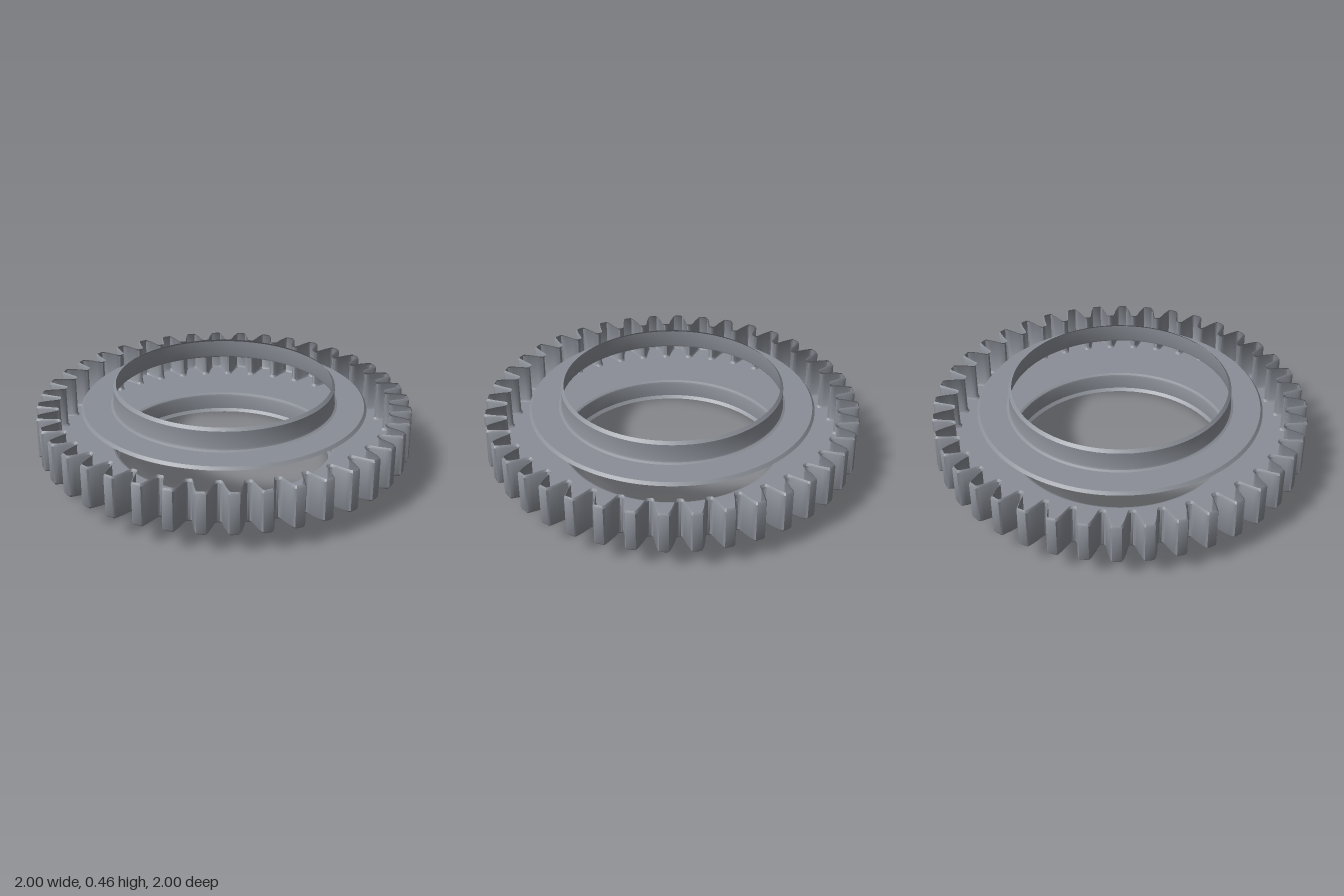
import * as THREE from 'three';
import { toCreasedNormals } from 'three/addons/utils/BufferGeometryUtils.js';

const TEETH = 40;
const Y0 = 0.11, Y1 = 0.34, BEVEL = 0.012;

// Half of one tooth: [radius, half width], from root to tip
const FLANK = [
  [0.886, 0.064], [0.892, 0.057], [0.91, 0.052], [0.93, 0.048],
  [0.95, 0.043], [0.97, 0.037], [0.99, 0.03], [0.998, 0.024],
];

// Closed gear outline, optionally drawn inwards for the bevelled edges
function gearOutline(inset) {
  const half = FLANK.map(([r, w]) => [r - inset, w - inset * 0.7]);
  const tooth = [
    ...half.map(([r, w]) => [r, -w]),
    ...half.slice().reverse(),
  ];
  const pts = [];
  for (let i = 0; i < TEETH; i++) {
    const a0 = (i / TEETH) * Math.PI * 2;
    for (const [r, w] of tooth) {
      const a = a0 + Math.asin(w / r);
      pts.push(new THREE.Vector2(r * Math.cos(a), r * Math.sin(a)));
    }
  }
  return pts;
}

// Toothed wall lofted through bevelled and full outlines
function toothWall() {
  const full = gearOutline(0), small = gearOutline(0.008);
  const levels = [[Y0, small], [Y0 + BEVEL, full], [Y1 - BEVEL, full], [Y1, small]];
  const n = full.length, pos = [], idx = [];
  for (const [y, ring] of levels) for (const p of ring) pos.push(p.x, y, -p.y);
  for (let l = 0; l < levels.length - 1; l++) {
    for (let i = 0; i < n; i++) {
      const a = l * n + i, b = l * n + (i + 1) % n;
      idx.push(a, b, b + n, a, b + n, a + n);
    }
  }
  const geo = new THREE.BufferGeometry();
  geo.setAttribute('position', new THREE.Float32BufferAttribute(pos, 3));
  geo.setIndex(idx);
  return toCreasedNormals(geo, 0.6);
}

// Surface of revolution with crisp edges
function turned(profile) {
  const geo = new THREE.LatheGeometry(profile.map(([r, y]) => new THREE.Vector2(r, y)), 128);
  return toCreasedNormals(geo, 0.5);
}

export function createModel() {
  const steel = new THREE.MeshStandardMaterial({ color: 0x8a8e96, side: THREE.DoubleSide });
  steel.name = 'steel grey';

  const group = new THREE.Group();
  group.name = 'gearRing';
  const add = (name, geo) => {
    const mesh = new THREE.Mesh(geo, steel);
    mesh.name = name;
    group.add(mesh);
    return mesh;
  };

  add('toothWall', toothWall());

  // Lower face, cut out to the hub
  const face = new THREE.Shape(gearOutline(0.008));
  face.holes.push(new THREE.Path().absarc(0, 0, 0.604, 0, Math.PI * 2, true));
  const lower = new THREE.ShapeGeometry(face, 64);
  lower.rotateX(Math.PI / 2);
  lower.translate(0, Y0, 0);
  add('lowerFace', lower);

  // Lower hub: bevelled foot, straight wall, small fillet into the face
  add('lowerHub', turned([
    [0.573, 0], [0.588, 0.015], [0.588, 0.094], [0.592, 0.104], [0.604, Y0],
  ]));

  // Upper flange with a bevelled outer edge
  add('upperFlange', turned([[0.76, 0.325], [0.747, Y1], [0.604, Y1]]));

  // Upper hub: fillet, straight wall, bevelled lip
  add('upperHub', turned([
    [0.604, Y1], [0.592, 0.346], [0.588, 0.356], [0.588, 0.445], [0.573, 0.46],
  ]));

  return group;
}
